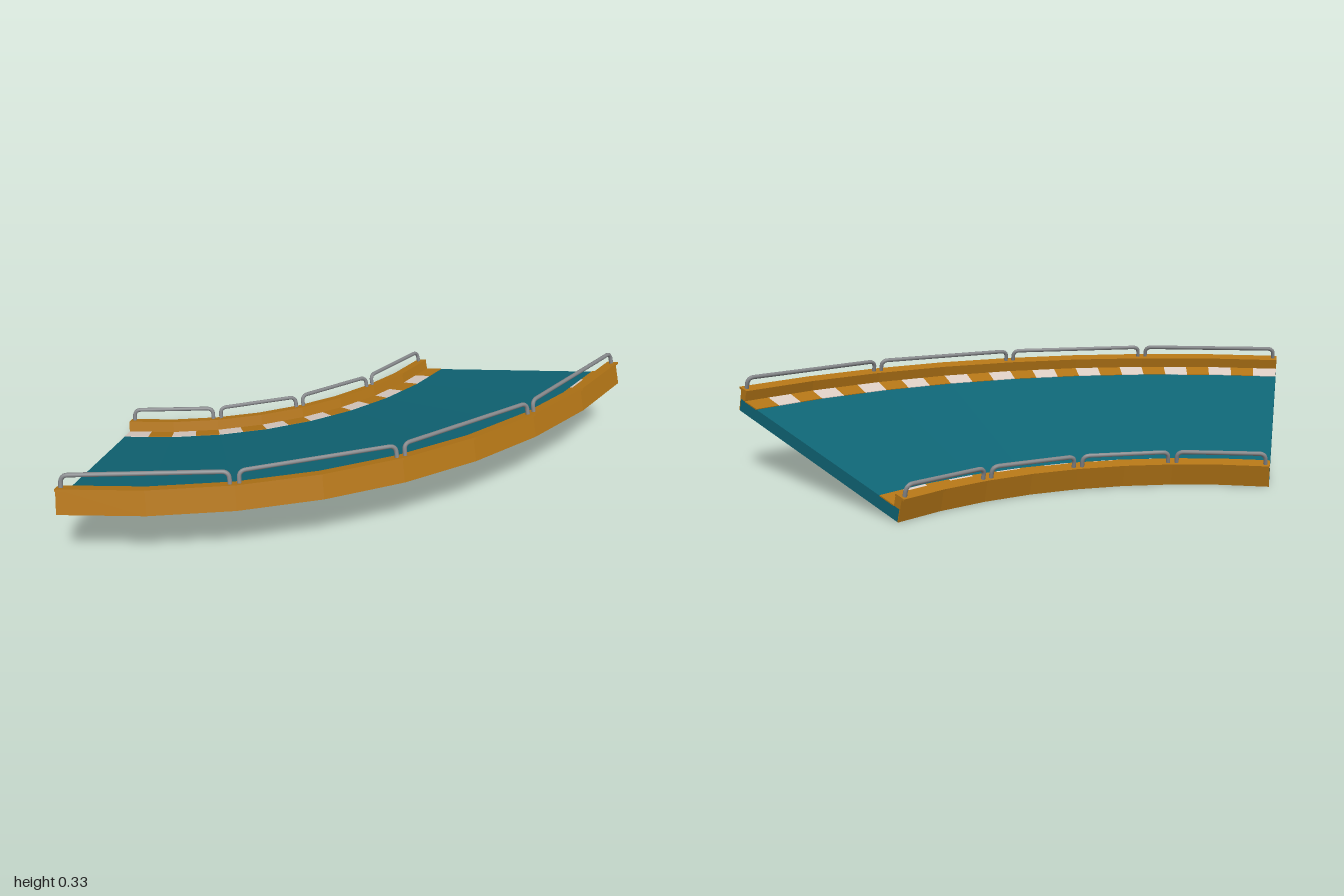
import * as THREE from 'three';

const RAD = Math.PI / 180;
const INNER = 1.2, CENTRE_Z = -1.5, BANK = 15 * RAD;
const WIDTH = 0.8 / Math.cos(BANK);          // road width along the slope
const HALF = 30 * RAD, FACET = 7.5 * RAD;    // half sweep and one straight facet
const DECK = 0.042, WALL = 0.08, THICK = 0.028;

const mat = (color) => new THREE.MeshStandardMaterial({ color });

// Banked frame: u runs up the slope, v is normal to it, a is the turn angle.
function place(u, v, a, r0 = 1) {
  const r = (INNER + u * Math.cos(BANK) - v * Math.sin(BANK)) * r0;
  const y = u * Math.sin(BANK) + v * Math.cos(BANK);
  return new THREE.Vector3(r * Math.sin(a), y, CENTRE_Z + r * Math.cos(a));
}

// Same, but following the straight facets of the curve.
function onFacet(u, v, a) {
  const i = Math.min(7, Math.max(0, Math.floor((a + HALF) / FACET + 1e-6)));
  const mid = -HALF + (i + 0.5) * FACET;
  return place(u, v, a, Math.cos(FACET / 2) / Math.cos(a - mid));
}

// Sweep a closed (u, v) profile round the turn, with end caps.
function sweep(name, profile, material, a0 = -HALF, a1 = HALF, steps = 8) {
  let pts = profile.map(([u, v]) => new THREE.Vector2(u, v));
  if (THREE.ShapeUtils.isClockWise(pts)) pts.reverse();
  const n = pts.length, verts = [], index = [];
  for (let s = 0; s <= steps; s++) {
    const a = a0 + ((a1 - a0) * s) / steps;
    for (const p of pts) verts.push(...onFacet(p.x, p.y, a).toArray());
  }
  for (let s = 0; s < steps; s++) {
    for (let i = 0; i < n; i++) {
      const a = s * n + i, b = s * n + ((i + 1) % n);
      index.push(a, a + n, b, b, a + n, b + n);
    }
  }
  const last = steps * n;
  for (const [i, j, k] of THREE.ShapeUtils.triangulateShape(pts, [])) {
    index.push(i, j, k, last + k, last + j, last + i);
  }
  const indexed = new THREE.BufferGeometry();
  indexed.setAttribute('position', new THREE.Float32BufferAttribute(verts, 3));
  indexed.setIndex(index);
  const geo = indexed.toNonIndexed();
  geo.computeVertexNormals();
  const mesh = new THREE.Mesh(geo, material);
  mesh.name = name;
  return mesh;
}

const rect = (u0, u1, v0, v1) => [[u0, v0], [u1, v0], [u1, v1], [u0, v1]];

// One hoop: two legs, rounded corners and a straight top bar.
function railHoop(u, a0, a1, material) {
  const gap = 0.014, bend = 0.022, top = 0.118;
  const ends = (v) => {
    const p = place(u, v, a0), q = place(u, v, a1);
    const d = q.clone().sub(p).normalize().multiplyScalar(gap);
    return [p.add(d), q.sub(d)];
  };
  const [f0, f1] = ends(WALL - 0.004), [t0, t1] = ends(top);
  const toward = (p, q) => p.clone().add(q.clone().sub(p).normalize().multiplyScalar(bend));
  const path = new THREE.CurvePath();
  const b0 = toward(t0, f0), c0 = toward(t0, t1), c1 = toward(t1, t0), b1 = toward(t1, f1);
  path.add(new THREE.LineCurve3(f0, b0));
  path.add(new THREE.QuadraticBezierCurve3(b0, t0, c0));
  path.add(new THREE.LineCurve3(c0, c1));
  path.add(new THREE.QuadraticBezierCurve3(c1, t1, b1));
  path.add(new THREE.LineCurve3(b1, f1));
  const mesh = new THREE.Mesh(new THREE.TubeGeometry(path, 90, 0.007, 8), material);
  mesh.name = 'railHoop';
  return mesh;
}

export function createModel() {
  const model = new THREE.Group();
  model.name = 'bankedTrackCurve';
  const teal = mat(0x0f6575), orange = mat(0xb37516), pale = mat(0xdccdc3), steel = mat(0x85878a);

  // Road slab
  model.add(sweep('roadDeck', rect(0.003, WIDTH - 0.003, 0, DECK), teal));

  const sides = [
    { name: 'inner', flip: (u) => u, stripes: 16, railU: 0.006 },
    { name: 'outer', flip: (u) => WIDTH - u, stripes: 24, railU: WIDTH - 0.008 },
  ];
  for (const { name, flip, stripes, railU } of sides) {
    const side = new THREE.Group();
    side.name = name + 'Edge';
    const mirrored = (profile) => profile.map(([u, v]) => [flip(u), v]);

    // Wall with a thin skirt over the slab edge, and its overhanging cap
    const wall = [[0, 0], [0.003, 0], [0.003, DECK], [THICK, DECK], [THICK, WALL], [0, WALL]];
    side.add(sweep('wall', mirrored(wall), orange));
    side.add(sweep('wallCap', mirrored(rect(-0.01, THICK + 0.002, WALL - 0.006, WALL + 0.001)), orange));

    // Striped kerb
    const kerb = mirrored(rect(THICK, 0.094, DECK - 0.002, DECK + 0.002));
    const step = (2 * HALF) / stripes;
    for (let i = 0; i < stripes; i++) {
      const a = -HALF + i * step;
      // the facet is sampled just inside each end so every stripe stays flat
      side.add(sweep('kerbStripe', kerb, i % 2 ? orange : pale, a, a + step, 1));
    }

    // Guard rail of four hoops
    for (let i = 0; i < 4; i++) {
      side.add(railHoop(railU, -HALF + i * 2 * FACET, -HALF + (i + 1) * 2 * FACET, steel));
    }
    model.add(side);
  }
  return model;
}
